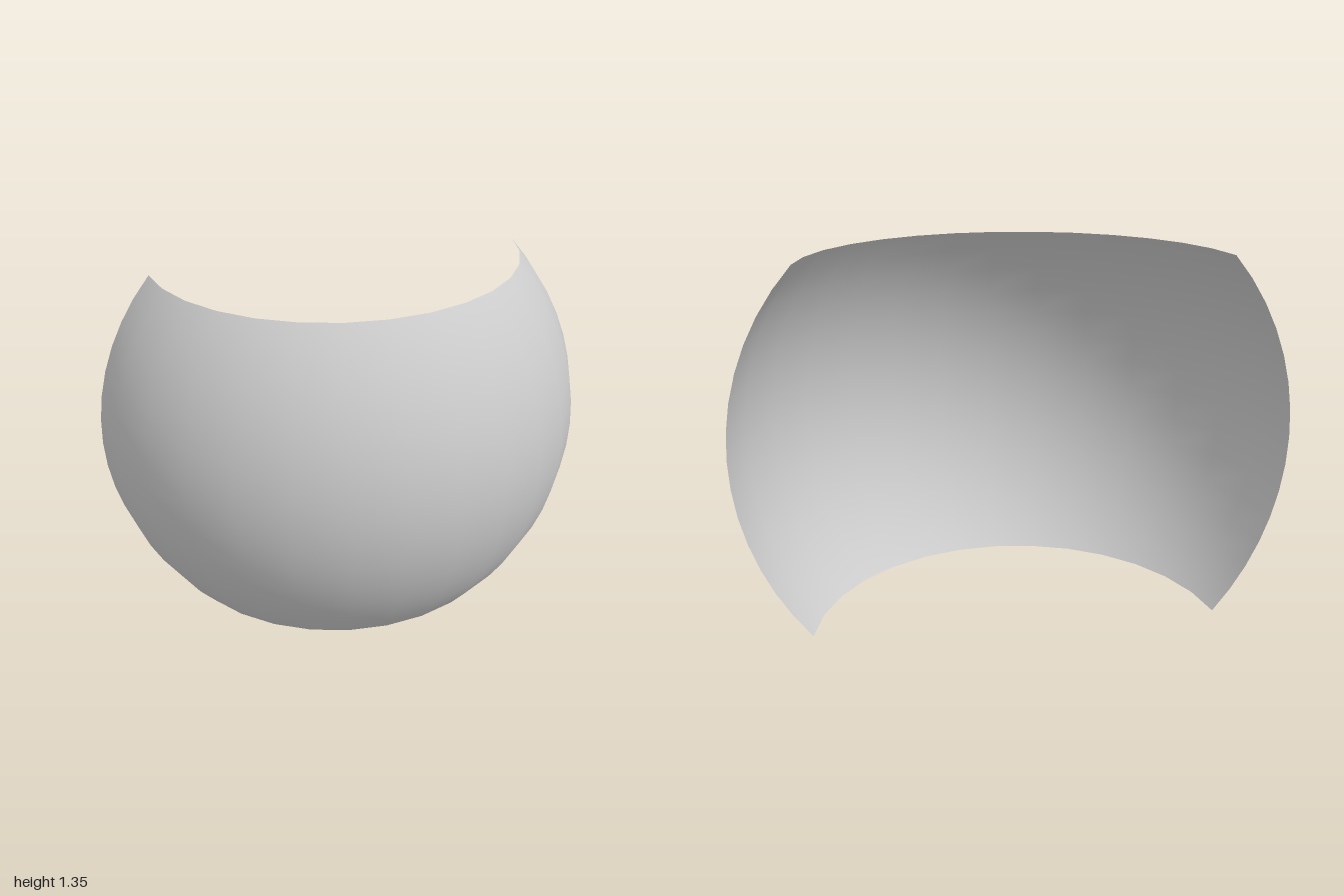
import * as THREE from 'three';

export function createModel() {
  const group = new THREE.Group();
  const rad = THREE.MathUtils.degToRad;

  // Thin curved shell: a band of a sphere, cut flat above and below and open at the back
  const endAngle = 6;   // degrees left off each end of the half turn
  const halfBand = 42;  // degrees of latitude above and below the equator
  const radius = 1 / Math.cos(rad(endAngle));

  const geometry = new THREE.SphereGeometry(
    radius, 14, 14,
    rad(endAngle), rad(180 - 2 * endAngle),
    rad(90 - halfBand), rad(2 * halfBand)
  );

  const shell = new THREE.Mesh(
    geometry,
    new THREE.MeshStandardMaterial({ color: 0xcccccc, side: THREE.DoubleSide })
  );
  shell.name = 'curvedShell';

  // Stand the band on the ground and centre its depth
  const backReach = radius * Math.cos(rad(halfBand)) * Math.sin(rad(endAngle));
  shell.position.set(0, radius * Math.sin(rad(halfBand)), -(radius + backReach) / 2);
  group.add(shell);
  return group;
}
